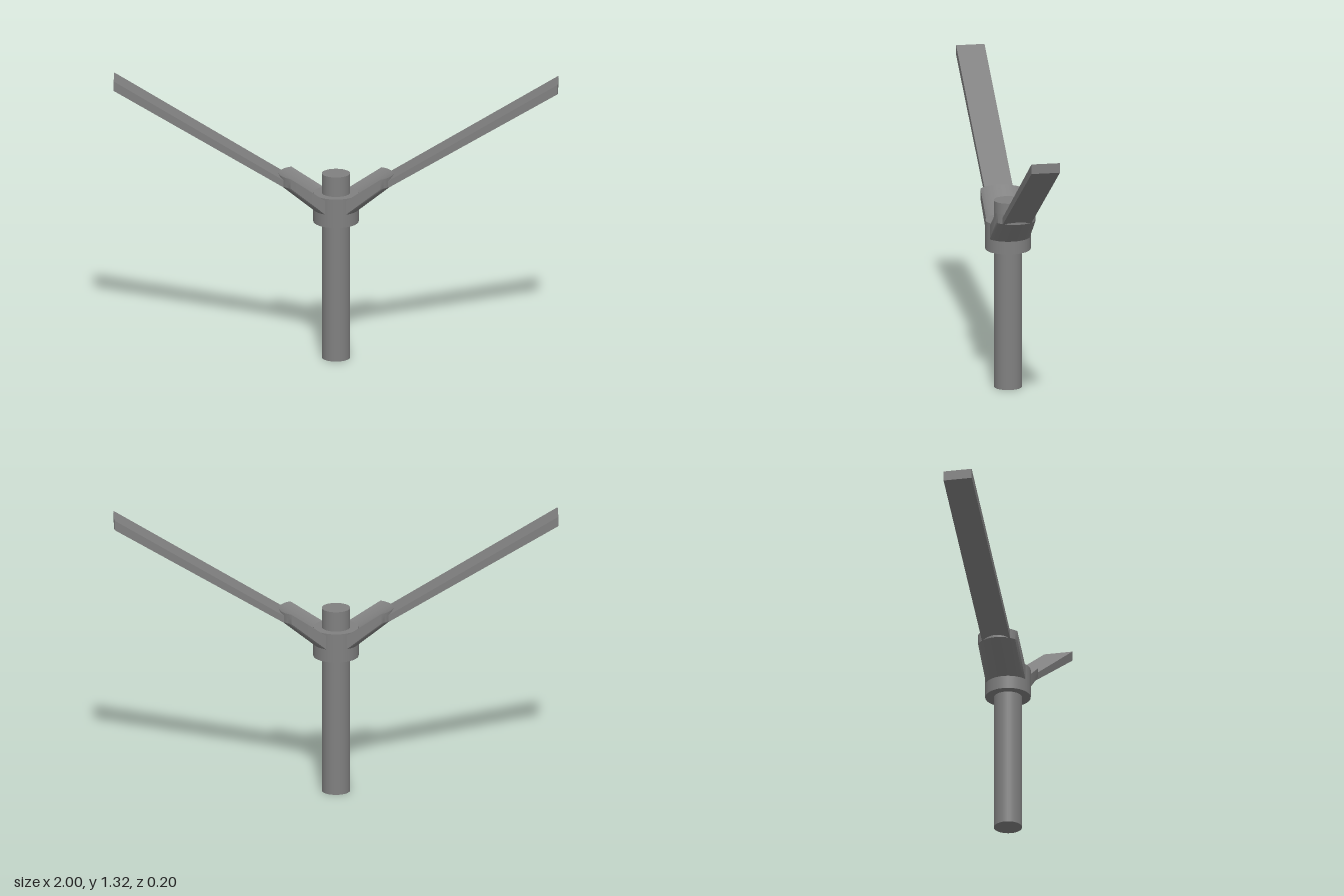
import * as THREE from 'three';
import { toCreasedNormals } from 'three/addons/utils/BufferGeometryUtils.js';

const material = new THREE.MeshStandardMaterial({ color: 0x808080 });
const COLLAR_R = 0.1025;

function part(name, geometry) {
  const mesh = new THREE.Mesh(geometry, material);
  mesh.name = name;
  return mesh;
}

// Upright cylinder between two heights
function post(name, radius, y0, y1) {
  const geometry = new THREE.CylinderGeometry(radius, radius, y1 - y0, 32);
  return part(name, geometry.translate(0, (y0 + y1) / 2, 0));
}

// Side profile extruded along z, centred on z = 0
function slab(points, width, steps = 1) {
  const shape = new THREE.Shape(points.map(([x, y]) => new THREE.Vector2(x, y)));
  const geometry = new THREE.ExtrudeGeometry(shape, { depth: width, steps, bevelEnabled: false });
  return geometry.translate(0, 0, -width / 2);
}

// Bracket grown out of the collar wall: each slice follows the collar's arc
function bracketGeometry() {
  const geometry = slab([[0, 0.705], [0.156, 0.827], [0.156, 0.872], [0, 0.77]], 0.182, 24);
  const pos = geometry.attributes.position;
  for (let i = 0; i < pos.count; i++) {
    const z = pos.getZ(i);
    pos.setX(i, pos.getX(i) + Math.sqrt(COLLAR_R * COLLAR_R - z * z));
  }
  return toCreasedNormals(geometry, 0.6);
}

export function createModel() {
  const model = new THREE.Group();
  model.name = 'rotor';

  // Shaft and hub
  model.add(post('shaft', 0.064, 0, 0.872));
  model.add(post('collar', COLLAR_R, 0.645, 0.78));

  // Two raised arms, half a turn apart
  const bracket = bracketGeometry();
  const blade = slab([[0.235, 0.824], [1, 1.275], [1, 1.32], [0.235, 0.857]], 0.13);
  for (const side of ['left', 'right']) {
    const arm = new THREE.Group();
    arm.name = side + 'Arm';
    arm.add(part(side + 'Bracket', bracket), part(side + 'Blade', blade));
    if (side === 'right') arm.rotation.y = Math.PI;
    model.add(arm);
  }
  return model;
}
